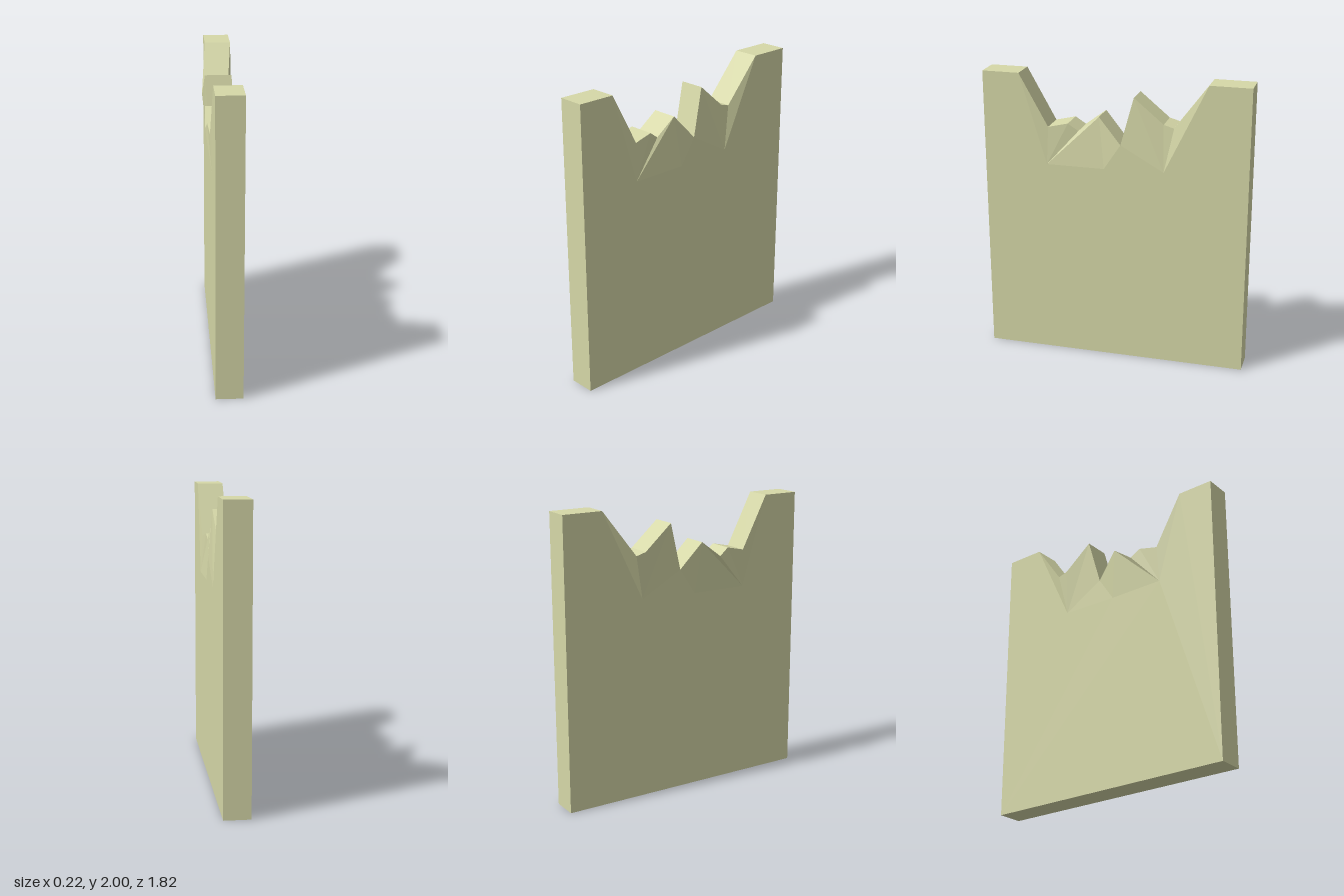
import * as THREE from 'three';

const LEFT = 0.105, RIGHT = -0.075; // x of the two wall faces

export function createModel() {
  // Broken top edge from front to back: z, y, sideways warp
  const top = [
    [0.91, 2, 0], [0.655, 2, 0], [0.46, 1.64, -0.012], [0.325, 1.67, -0.023],
    [0.255, 1.62, -0.035], [0.11, 1.73, -0.03], [-0.045, 1.555, 0],
    [-0.13, 1.88, -0.02], [-0.33, 1.71, -0.03], [-0.4, 1.69, -0.03],
    [-0.63, 2, 0], [-0.91, 2, 0],
  ];
  const foot = [[-0.91, 0, 0], [0.91, 0, 0]];
  // Points where the warped fragments meet the flat wall
  const a = [0.47, 1.38, 0], b = [0.07, 1.38, 0], c = [-0.34, 1.39, 0];

  // Flat part of a side face
  const flat = [...foot, top[0], top[1], a, b, top[6], c, top[10], top[11]];
  const triangles = THREE.ShapeUtils
    .triangulateShape(flat.map(([z, y]) => new THREE.Vector2(z, y)), [])
    .map((t) => t.map((i) => flat[i]));

  // Warped fragments, as fans up to the broken edge
  const fan = (centre, from, to) => {
    for (let i = from; i < to; i++) triangles.push([centre, top[i], top[i + 1]]);
  };
  fan(a, 1, 5);
  triangles.push([a, top[5], b]);
  fan(b, 5, 6);
  fan(c, 6, 10);

  const positions = [];
  const add = (x, [z, y, warp]) => positions.push(x + warp, y, z);

  // Both side faces
  for (const [p, q, r] of triangles) {
    [p, q, r].forEach((v) => add(RIGHT, v));
    [r, q, p].forEach((v) => add(LEFT, v));
  }

  // Rim joining the two faces
  const outline = [...foot, ...top];
  outline.forEach((p, i) => {
    const q = outline[(i + 1) % outline.length];
    add(RIGHT, q); add(RIGHT, p); add(LEFT, p);
    add(RIGHT, q); add(LEFT, p); add(LEFT, q);
  });

  const geometry = new THREE.BufferGeometry();
  geometry.setAttribute('position', new THREE.Float32BufferAttribute(positions, 3));
  geometry.computeVertexNormals();

  const wall = new THREE.Mesh(
    geometry,
    new THREE.MeshStandardMaterial({ color: 0xd6d8a8, flatShading: true }),
  );
  wall.name = 'brokenWall';

  const group = new THREE.Group();
  group.name = 'brokenWallPanel';
  group.add(wall);
  return group;
}
